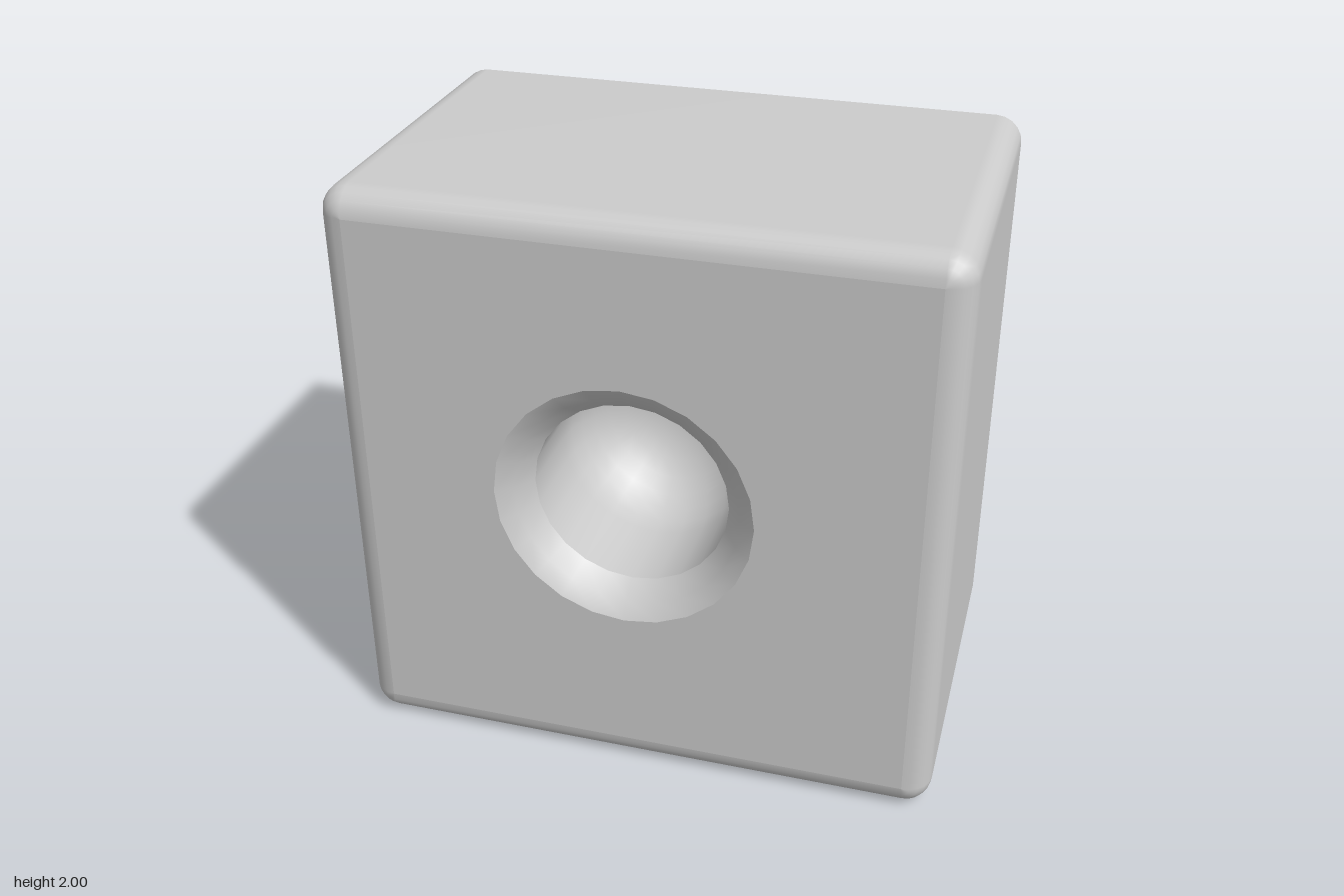
import * as THREE from 'three';

const HALF = 1, DEPTH = 0.61, R = 0.09;       // half width, half depth, edge radius
const HOLE = { x: -0.04, y: 1.02, rim: 0.43, r: 0.325 };
const SEG = 24;

// Rounded square outline, counter-clockwise, shrunk by an inset
function outline(inset) {
  const pts = [], r = R - inset, c = HALF - R, steps = 5;
  for (let q = 0; q < 4; q++) {
    const sx = q === 0 || q === 3 ? 1 : -1, sy = q < 2 ? 1 : -1;
    for (let i = 0; i <= steps; i++) {
      const a = (q + i / steps) * Math.PI / 2;
      pts.push(new THREE.Vector2(sx * c + r * Math.cos(a), HALF + sy * c + r * Math.sin(a)));
    }
  }
  return pts;
}

// Side walls with a rounded front edge, lofted from outlines
function shellGeometry() {
  const rings = [[0, -DEPTH]];
  for (let i = 0; i <= 5; i++) {
    const a = i / 5 * Math.PI / 2;
    rings.push([R * (1 - Math.cos(a)), DEPTH - R + R * Math.sin(a)]);
  }
  const pos = [], idx = [], n = outline(0).length;
  for (const [inset, z] of rings) for (const p of outline(inset)) pos.push(p.x, p.y, z);
  for (let k = 0; k < rings.length - 1; k++) {
    for (let i = 0; i < n; i++) {
      const j = (i + 1) % n, a = k * n + i, b = k * n + j;
      idx.push(a, b, b + n, a, b + n, a + n);
    }
  }
  const g = new THREE.BufferGeometry();
  g.setAttribute('position', new THREE.Float32BufferAttribute(pos, 3));
  g.setIndex(idx);
  g.computeVertexNormals();
  return g;
}

export function createModel() {
  const group = new THREE.Group();
  const material = new THREE.MeshStandardMaterial({ color: 0xcccccc });
  const add = (name, geometry) => {
    const mesh = new THREE.Mesh(geometry, material);
    mesh.name = name;
    group.add(mesh);
    return mesh;
  };

  add('blockSides', shellGeometry());

  // Flat front with the round opening
  const c = HALF - R;
  const front = new THREE.Shape([[-c, -c], [c, -c], [c, c], [-c, c]]
    .map(([x, y]) => new THREE.Vector2(x, HALF + y)));
  const opening = new THREE.Path();
  opening.absarc(HOLE.x, HOLE.y, HOLE.rim, 0, Math.PI * 2, true);
  front.holes.push(opening);
  add('frontFace', new THREE.ShapeGeometry(front, SEG / 2)).position.z = DEPTH;

  // Closed flat back
  const back = new THREE.ShapeGeometry(new THREE.Shape(outline(0)));
  back.rotateY(Math.PI);
  add('backFace', back).position.z = -DEPTH;

  // Flared rim, straight bore and rounded floor
  const flare = [[HOLE.rim, 0], [0.375, -0.035], [HOLE.r, -0.1]];
  const bore = [[HOLE.r, -0.1], [HOLE.r, -0.38]];
  for (let i = 1; i <= 8; i++) {
    const a = i / 8 * Math.PI / 2;
    bore.push([Math.max(0, HOLE.r * Math.cos(a)), -0.38 - 0.3 * Math.sin(a)]);
  }
  for (const [name, profile] of [['holeFlare', flare], ['holeBore', bore]]) {
    const g = new THREE.LatheGeometry(profile.map(([r, y]) => new THREE.Vector2(r, y)), SEG);
    g.rotateX(Math.PI / 2);
    add(name, g).position.set(HOLE.x, HOLE.y, DEPTH);
  }
  return group;
}
